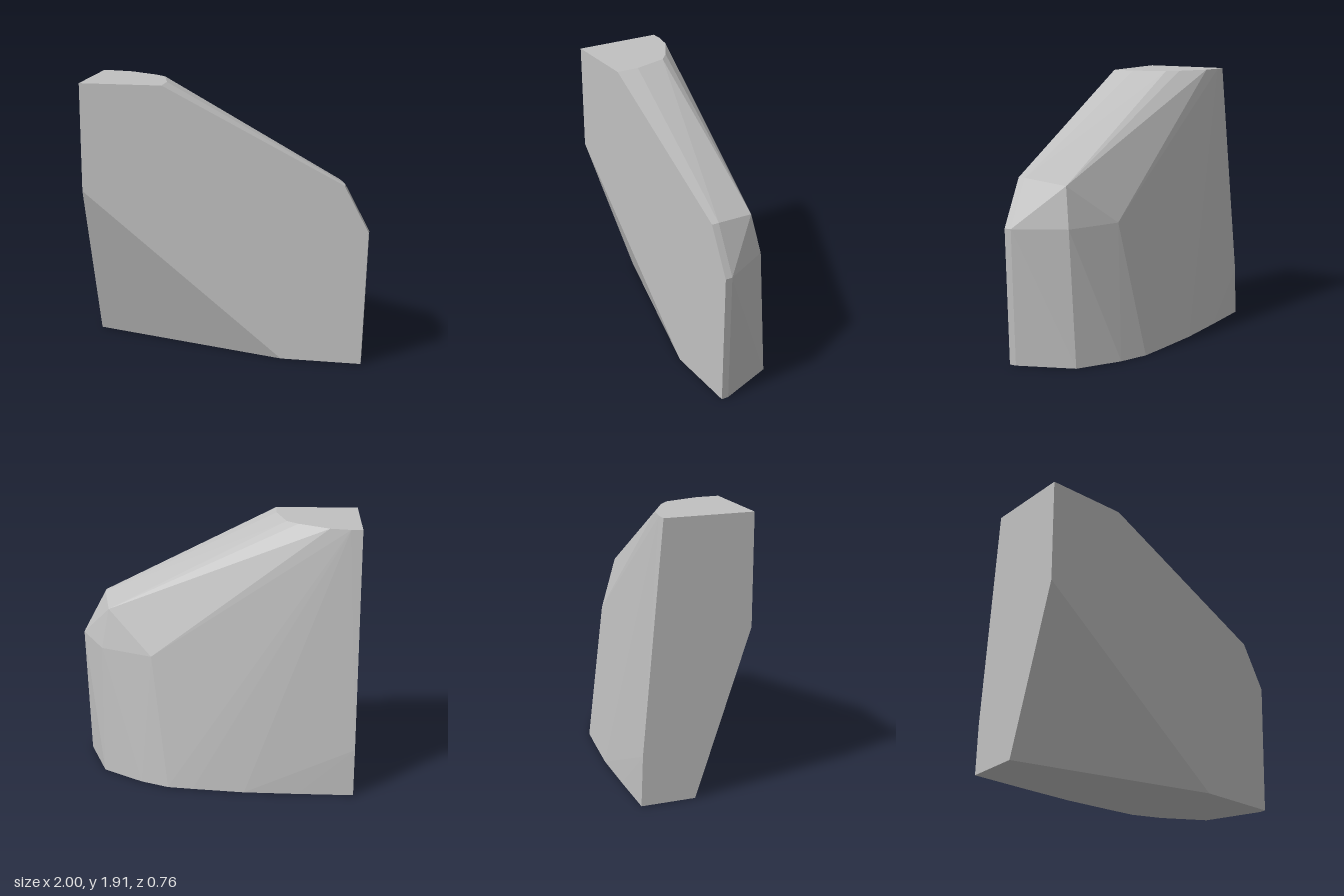
import * as THREE from 'three';
import { ConvexGeometry } from 'three/addons/geometries/ConvexGeometry.js';

export function createModel() {
  const group = new THREE.Group();
  group.name = 'rockFragment';
  const stone = new THREE.MeshStandardMaterial({ color: 0xc0c0c0 });
  stone.name = 'light grey stone';

  // Outlines of the flat top and base as [x, z]
  const top = [[-1, 0.38], [-0.42, 0.38], [-0.42, 0.22], [-0.49, -0.02],
    [-0.57, -0.09], [-0.78, -0.21], [-0.92, -0.235], [-1, -0.235]];
  const base = [[-1, 0], [0.41, 0.38], [0.97, 0.38], [0.97, 0.33], [0.82, -0.06],
    [0.53, -0.24], [0.33, -0.32], [0.15, -0.34], [-0.22, -0.375], [-0.6, -0.38], [-1, -0.38]];

  // Corners between them: cut front corner, right shoulder and rounded back
  const middle = [[-1, 1.15, 0.38], [0.83, 1.27, 0.38], [0.83, 1.27, 0.33],
    [1, 0.95, 0.38], [1, 0.95, 0.33], [0.77, 1.23, 0.04], [0.82, 0.95, -0.01],
    [0.45, 0.95, -0.17], [-1, 0.35, -0.37]];

  const points = [
    ...top.map(([x, z]) => new THREE.Vector3(x, 1.91, z)),
    ...base.map(([x, z]) => new THREE.Vector3(x, 0, z)),
    ...middle.map((p) => new THREE.Vector3(...p)),
  ];

  // Faceted stone body
  const body = new THREE.Mesh(new ConvexGeometry(points), stone);
  body.name = 'stoneBody';
  group.add(body);
  return group;
}
